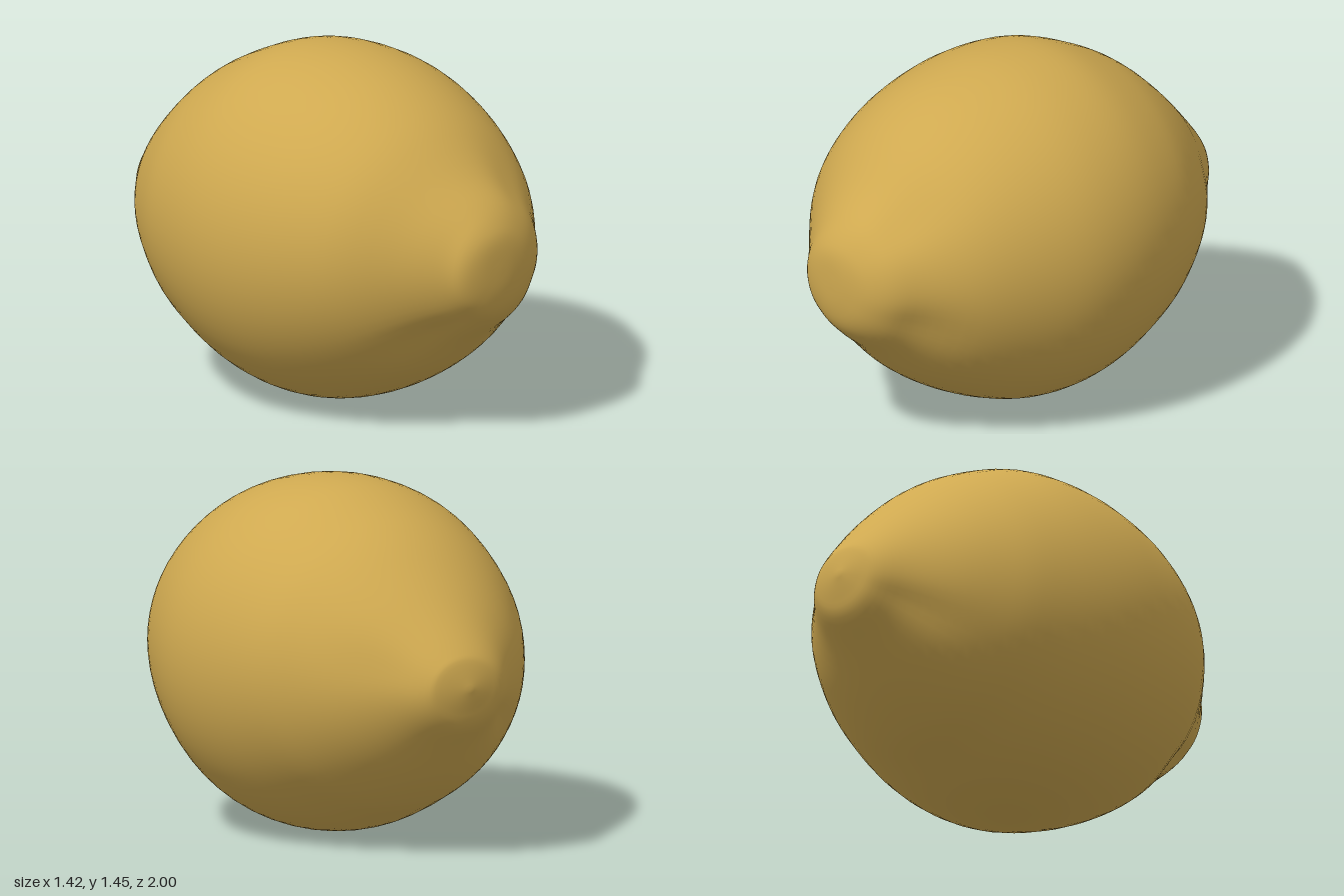
import * as THREE from 'three';

// Cross-sections from front tip to back tip: z, left x, right x, bottom y, top y
const sections = [
  [1.0, 0.03, 0.03, 0.73, 0.73],
  [0.995, -0.07, 0.11, 0.63, 0.83],
  [0.97, -0.15, 0.21, 0.54, 0.90],
  [0.91, -0.21, 0.30, 0.47, 0.98],
  [0.80, -0.33, 0.385, 0.38, 1.08],
  [0.62, -0.515, 0.525, 0.22, 1.25],
  [0.42, -0.625, 0.625, 0.10, 1.365],
  [0.20, -0.69, 0.695, 0.02, 1.43],
  [0.0, -0.71, 0.71, 0.0, 1.45],
  [-0.20, -0.69, 0.68, 0.03, 1.43],
  [-0.40, -0.635, 0.61, 0.11, 1.35],
  [-0.55, -0.56, 0.52, 0.185, 1.26],
  [-0.70, -0.46, 0.40, 0.30, 1.13],
  [-0.85, -0.325, 0.235, 0.45, 0.98],
  [-0.95, -0.235, 0.13, 0.55, 0.87],
  [-0.98, -0.16, 0.07, 0.63, 0.82],
  [-1.0, -0.06, -0.06, 0.72, 0.72],
];

const AROUND = 64;
const STEPS = 4;

// Catmull-Rom blend of one column between neighbouring sections
function blend(column, i, t) {
  const at = (k) => sections[Math.min(Math.max(k, 0), sections.length - 1)][column];
  const [a, b, c, d] = [at(i - 1), at(i), at(i + 1), at(i + 2)];
  return 0.5 * (2 * b + (c - a) * t + (2 * a - 5 * b + 4 * c - d) * t * t + (3 * b - a - 3 * c + d) * t * t * t);
}

// Soft peel creases that fade out towards the middle and the tips
function wrinkle(angle, z) {
  const crease = (at, width) => {
    const d = Math.atan2(Math.sin(angle - at), Math.cos(angle - at)) / width;
    return Math.exp(-d * d);
  };
  const shoulder = Math.exp(-(((Math.abs(z) - 0.8) / 0.14) ** 2));
  if (z > 0) return 1 - shoulder * (0.05 * crease(-0.45, 0.25) + 0.06 * crease(-2.2, 0.2) + 0.04 * crease(0.9, 0.3));
  return 1 - shoulder * (0.05 * crease(-2.6, 0.2) + 0.03 * crease(0.3, 0.3));
}

function fruitGeometry() {
  const positions = [];
  const index = [];
  const rows = (sections.length - 1) * STEPS;
  for (let r = 0; r <= rows; r++) {
    const i = Math.min(Math.floor(r / STEPS), sections.length - 2);
    const [z, left, right, bottom, top] = [0, 1, 2, 3, 4].map((c) => blend(c, i, r / STEPS - i));
    for (let j = 0; j < AROUND; j++) {
      const angle = (j / AROUND) * Math.PI * 2;
      const w = wrinkle(angle, z);
      positions.push(
        (left + right) / 2 + ((right - left) / 2) * Math.cos(angle) * w,
        (bottom + top) / 2 + ((top - bottom) / 2) * Math.sin(angle) * w,
        Math.max(-1, Math.min(1, z)),
      );
      if (r === rows) continue;
      const next = (j + 1) % AROUND;
      const [a, b, c, d] = [r * AROUND + j, r * AROUND + next, (r + 1) * AROUND + j, (r + 1) * AROUND + next];
      if (r < rows - 1) index.push(a, c, b);
      else index.push(a, c, b);
      if (r > 0 && r < rows - 1) index.push(b, c, d);
      else if (r === 0) index.push(b, c, d);
    }
  }
  const geometry = new THREE.BufferGeometry();
  geometry.setAttribute('position', new THREE.Float32BufferAttribute(positions, 3));
  geometry.setIndex(index);
  geometry.computeVertexNormals();
  // The tips are single points, so their normals run straight along z
  const normal = geometry.attributes.normal;
  for (let j = 0; j < AROUND; j++) {
    normal.setXYZ(j, 0, 0, 1);
    normal.setXYZ(rows * AROUND + j, 0, 0, -1);
  }
  return geometry;
}

export function createModel() {
  const group = new THREE.Group();
  group.name = 'lemon';
  const peel = new THREE.MeshStandardMaterial({ color: 0xcfa950 });
  peel.name = 'yellow peel';
  const fruit = new THREE.Mesh(fruitGeometry(), peel);
  fruit.name = 'fruit';
  group.add(fruit);
  return group;
}
